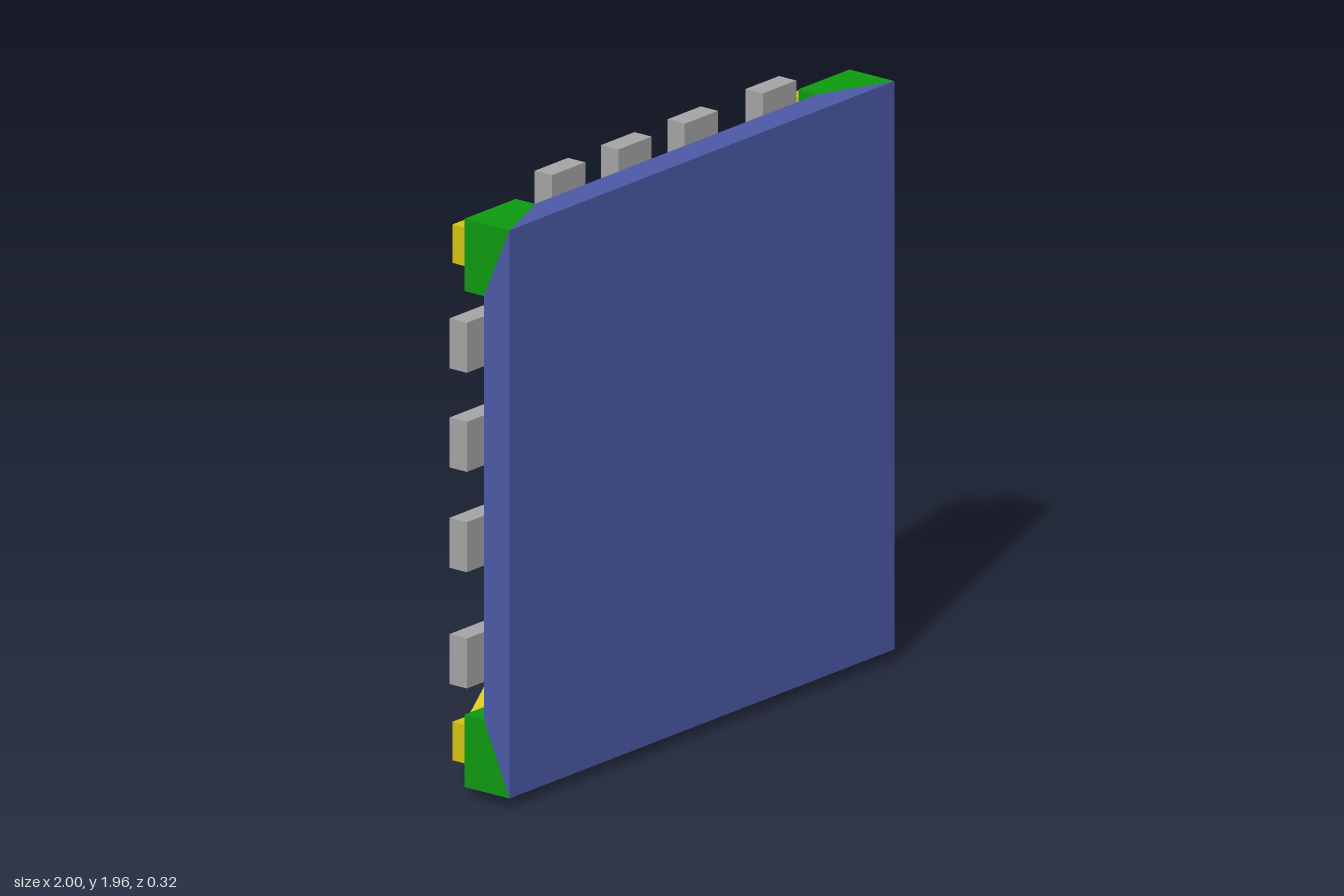
import * as THREE from 'three';
import { ConvexGeometry } from 'three/addons/geometries/ConvexGeometry.js';

const CX = 0.023, CY = 0.962; // centre of the body
const FRONT = 0.159, SLAB_BACK = 0.057, FRAME_BACK = -0.02, CROSS_BACK = -0.114, PLATE_BACK = -0.159;
const QUADRANTS = [[1, 1], [-1, 1], [-1, -1], [1, -1]];

function material(name, color) {
  const m = new THREE.MeshStandardMaterial({ color });
  m.name = name;
  return m;
}

// Mirrors a first-quadrant outline into all four quadrants and extrudes it from z0 to z1
function mirroredPlate(quarter, z0, z1) {
  const points = QUADRANTS.flatMap(([sx, sy]) => {
    const q = quarter.map(([x, y]) => new THREE.Vector2(CX + sx * x, CY + sy * y));
    return sx * sy > 0 ? q : q.reverse();
  });
  const g = new THREE.ExtrudeGeometry(new THREE.Shape(points), { depth: z1 - z0, bevelEnabled: false });
  return g.translate(0, 0, z0);
}

export function createModel() {
  const blue = material('blue', 0x4d5aa8);
  const green = material('green', 0x0f9b10);
  const yellow = material('yellow', 0xd8c510);
  const grey = material('grey', 0xa6a6a6);

  const model = new THREE.Group();
  const add = (name, geometry, mat, parent = model) => {
    const mesh = new THREE.Mesh(geometry, mat);
    mesh.name = name;
    parent.add(mesh);
    return mesh;
  };

  // Front slab with its four back corners cut away
  const W = 0.94, H = 0.926, CUT = 0.69;
  const at = (x, y, z) => new THREE.Vector3(CX + x, CY + y, z);
  const slab = [];
  const corners = new THREE.Group();
  corners.name = 'cornerWedges';
  for (const [sx, sy] of QUADRANTS) {
    const apex = at(sx * W, sy * H, FRONT);
    const a = at(sx * CUT, sy * H, SLAB_BACK);
    const b = at(sx * W, sy * CUT, SLAB_BACK);
    slab.push(apex, a, b);
    // Wedge that fills the cut corner
    add('cornerWedge', new ConvexGeometry([apex, a, b, at(sx * W, sy * H, SLAB_BACK)]), green, corners);
  }
  add('frontSlab', new ConvexGeometry(slab), blue);
  model.add(corners);

  // Lower frame with square corner blocks
  add('lowerFrame', mirroredPlate([
    [0.695, 0.56], [0.825, 0.69], [W, 0.69], [W, H], [0.69, H], [0.69, 0.816], [0.56, 0.686],
  ], FRAME_BACK, SLAB_BACK), green);

  // Upper frame with diagonal arms ending in square tips
  add('upperFrame', mirroredPlate([
    [0.635, 0.578], [0.805, 0.748], [0.885, 0.748], [0.885, 0.873],
    [0.745, 0.873], [0.745, 0.79], [0.58, 0.625],
  ], CROSS_BACK, FRAME_BACK), yellow);

  // Back plate with clipped corners
  add('backPlate', mirroredPlate([[0.535, 0.505], [0.505, 0.535]], PLATE_BACK, CROSS_BACK), grey);

  // Contact pads along all four edges
  const PAD = 0.163, padBack = -0.012;
  const padGeometry = new THREE.BoxGeometry(PAD, PAD, SLAB_BACK - padBack);
  const pads = new THREE.Group();
  pads.name = 'contactPads';
  const addPad = (x, y) =>
    add('contactPad', padGeometry, grey, pads).position.set(x, y, (SLAB_BACK + padBack) / 2);
  for (const x of [-0.503, -0.179, 0.145, 0.527]) {
    addPad(x, PAD / 2);
    addPad(x, 1.96 - PAD / 2);
  }
  for (const y of [1.505, 1.182, 0.855, 0.476]) {
    addPad(-1 + PAD / 2, y);
    addPad(1 - PAD / 2, y);
  }
  model.add(pads);

  return model;
}
